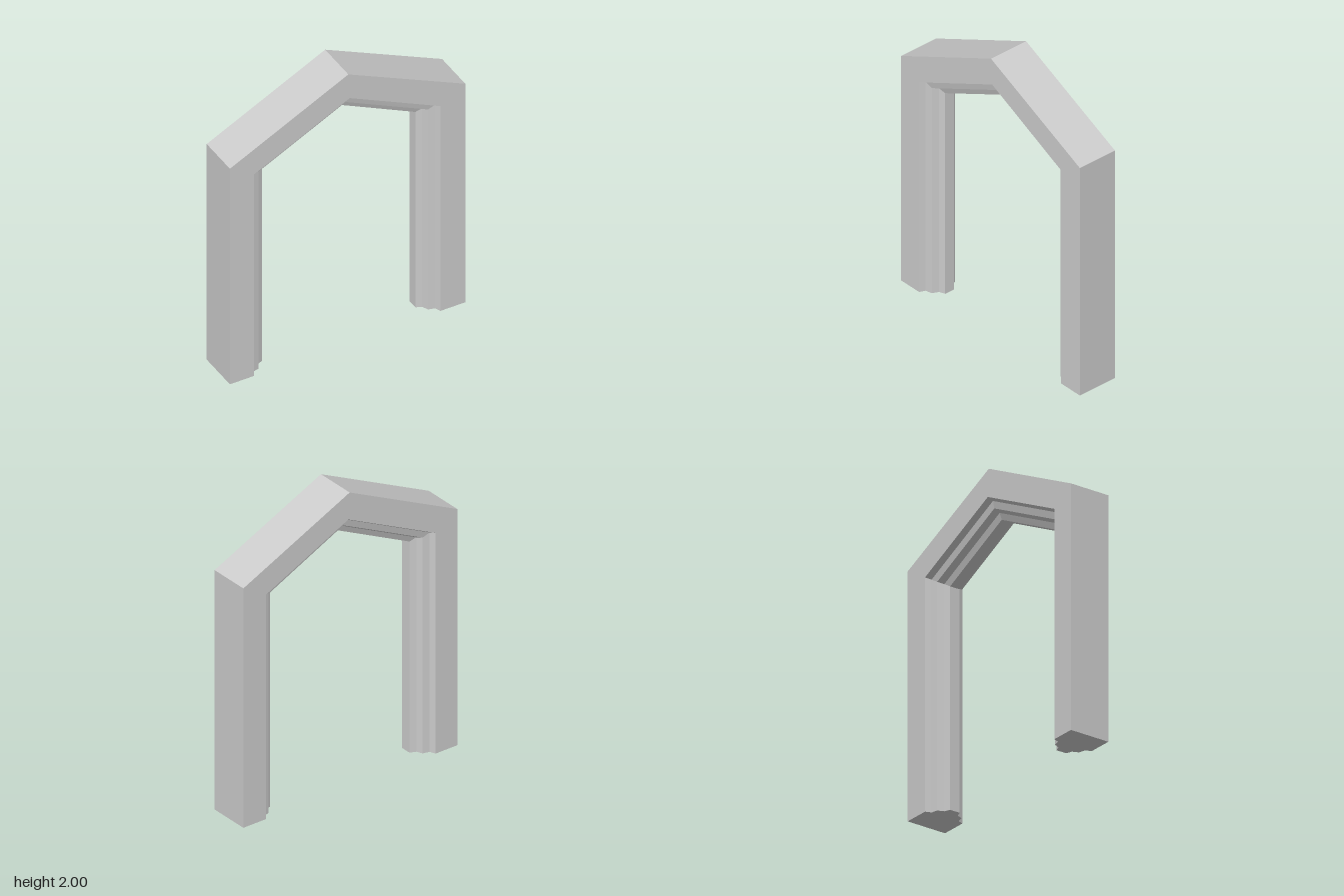
import * as THREE from 'three';

// Gabled frame line at one depth of the moulding: foot, eave, apex, eave, foot.
function frameLine({ left, right, eaveL, eaveR, apexX, apexY, z }) {
  return [
    new THREE.Vector3(-left, 0, z),
    new THREE.Vector3(-left, eaveL, z),
    new THREE.Vector3(apexX, apexY, z),
    new THREE.Vector3(right, eaveR, z),
    new THREE.Vector3(right, 0, z),
  ];
}

const OUTER = { left: 0.8, right: 0.8, eaveL: 1.605, eaveR: 1.627, apexX: 0.005, apexY: 2, z: 0.138 };
const FACE = { left: 0.637, right: 0.63, eaveL: 1.5, eaveR: 1.525, apexX: 0.015, apexY: 1.82 };
const REVEAL = { left: 0.522, right: 0.52, eaveL: 1.435, eaveR: 1.455, apexX: 0.015, apexY: 1.7 };

// Moulding steps: [fraction from face edge to reveal, depth z]
const STEPS = [[0, 0.138], [0.13, 0.1], [0.51, 0.09], [0.66, 0.05], [1, 0.035]];

function createSection() {
  const front = [OUTER];
  for (const [u, z] of STEPS) {
    const line = { z };
    for (const key in FACE) line[key] = THREE.MathUtils.lerp(FACE[key], REVEAL[key], u);
    front.push(line);
  }
  // The back repeats the front, mirrored in z
  const back = front.map((line) => ({ ...line, z: -line.z })).reverse();
  return [...front, ...back].map(frameLine);
}

function createFrameGeometry() {
  const lines = createSection();
  const positions = [];
  const triangle = (a, b, c) => {
    for (const p of [a, b, c]) positions.push(p.x, p.y, p.z);
  };

  // Faces swept along the frame, with mitred eaves and apex
  lines.forEach((line, i) => {
    const next = lines[(i + 1) % lines.length];
    for (let j = 0; j < line.length - 1; j++) {
      triangle(line[j], next[j], next[j + 1]);
      triangle(line[j], next[j + 1], line[j + 1]);
    }
  });

  // Undersides of both feet
  for (const foot of [0, 4]) {
    const ring = lines.map((line) => line[foot]);
    const contour = ring.map((p) => new THREE.Vector2(p.x, p.z));
    for (const face of THREE.ShapeUtils.triangulateShape(contour, [])) {
      const [a, b, c] = face.map((k) => ring[k]);
      const up = b.clone().sub(a).cross(c.clone().sub(a)).y > 0;
      if (up) triangle(a, c, b);
      else triangle(a, b, c);
    }
  }

  const geometry = new THREE.BufferGeometry();
  geometry.setAttribute('position', new THREE.Float32BufferAttribute(positions, 3));
  geometry.computeVertexNormals();
  return geometry;
}

export function createModel() {
  const group = new THREE.Group();
  group.name = 'gabledArchway';
  const material = new THREE.MeshStandardMaterial({ color: 0xcccccc, flatShading: true });
  const frame = new THREE.Mesh(createFrameGeometry(), material);
  frame.name = 'mouldedFrame';
  group.add(frame);
  return group;
}
